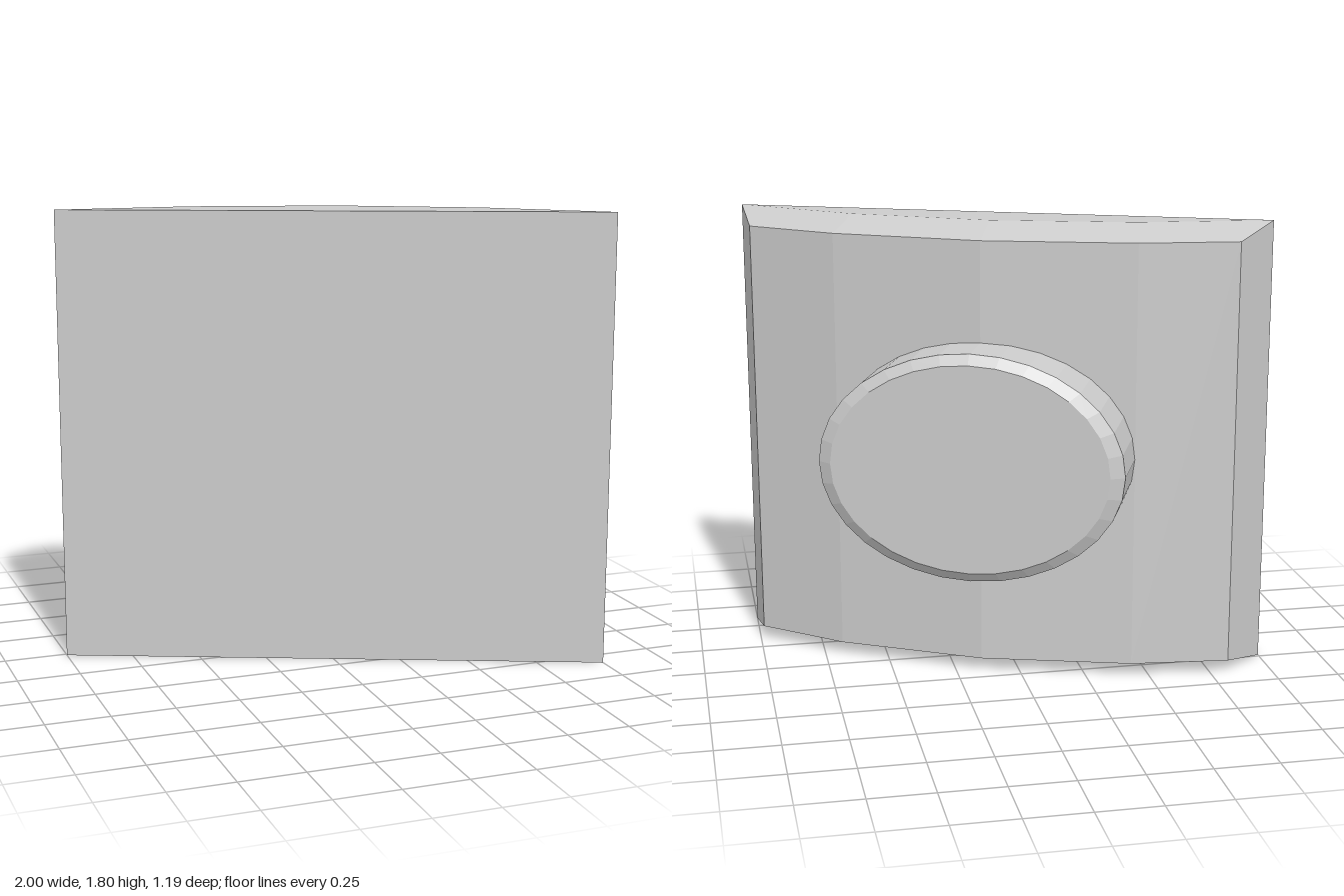
import * as THREE from 'three';

const material = new THREE.MeshStandardMaterial({ color: 0xcccccc, flatShading: true });
const H = 1.805;      // plate height
const BEVEL = 0.053;  // drop of the top and bottom edges toward the back

// Sections across the plate as [x, depth behind the front face]
const inner = [[-1.083, 0], [-0.57, 0.16], [0, 0.22], [0.57, 0.16], [1.083, 0]];
const outer = [[-0.977, 0.219], [-0.6, 0.331], [0, 0.392], [0.6, 0.331], [0.977, 0.219]];
const front = inner.map(([x]) => [x, 0]);

// Plate: flat front, bowed faceted back, bevelled top and bottom
function plateGeometry() {
  const row = (section, y) => section.map(([x, d]) => new THREE.Vector3(x, y, -d));
  const rows = [
    row(front, 0), row(front, H), row(inner, H),
    row(outer, H - BEVEL), row(outer, BEVEL), row(inner, 0),
  ];
  const points = [];
  const tri = (a, b, c) => {
    if (new THREE.Triangle(a, b, c).getArea() > 1e-6) points.push(a, b, c);
  };
  const quad = (a, b, c, d) => { tri(a, b, c); tri(a, c, d); };

  // Skin between neighbouring rows, closed all the way round
  rows.forEach((r, j) => {
    const next = rows[(j + 1) % rows.length];
    for (let i = 0; i < 4; i++) quad(r[i], r[i + 1], next[i + 1], next[i]);
  });
  // Slanted side ends
  quad(rows[0][4], rows[4][4], rows[3][4], rows[1][4]);
  quad(rows[0][0], rows[1][0], rows[3][0], rows[4][0]);

  const geometry = new THREE.BufferGeometry().setFromPoints(points);
  geometry.computeVertexNormals();
  return geometry;
}

// Oval boss with a chamfered rim, standing out of the back
function bossGeometry() {
  const profile = [[0, 0.28], [1, 0.28], [1, 0.588], [0.912, 0.616], [0, 0.616]];
  const geometry = new THREE.LatheGeometry(profile.map(([r, d]) => new THREE.Vector2(r, d)), 32);
  geometry.rotateX(-Math.PI / 2);
  geometry.scale(0.6, 0.452, 1);
  geometry.translate(0, H / 2, 0);
  return geometry;
}

export function createModel() {
  const model = new THREE.Group();
  model.name = 'plateWithBoss';

  const plate = new THREE.Mesh(plateGeometry(), material);
  plate.name = 'bowedPlate';
  const boss = new THREE.Mesh(bossGeometry(), material);
  boss.name = 'ovalBoss';

  // The whole part is turned about the vertical
  const turned = new THREE.Group();
  turned.name = 'turnedBody';
  turned.add(plate, boss);
  turned.rotation.y = -0.3934;
  turned.position.z = 0.178;
  model.add(turned);
  return model;
}
